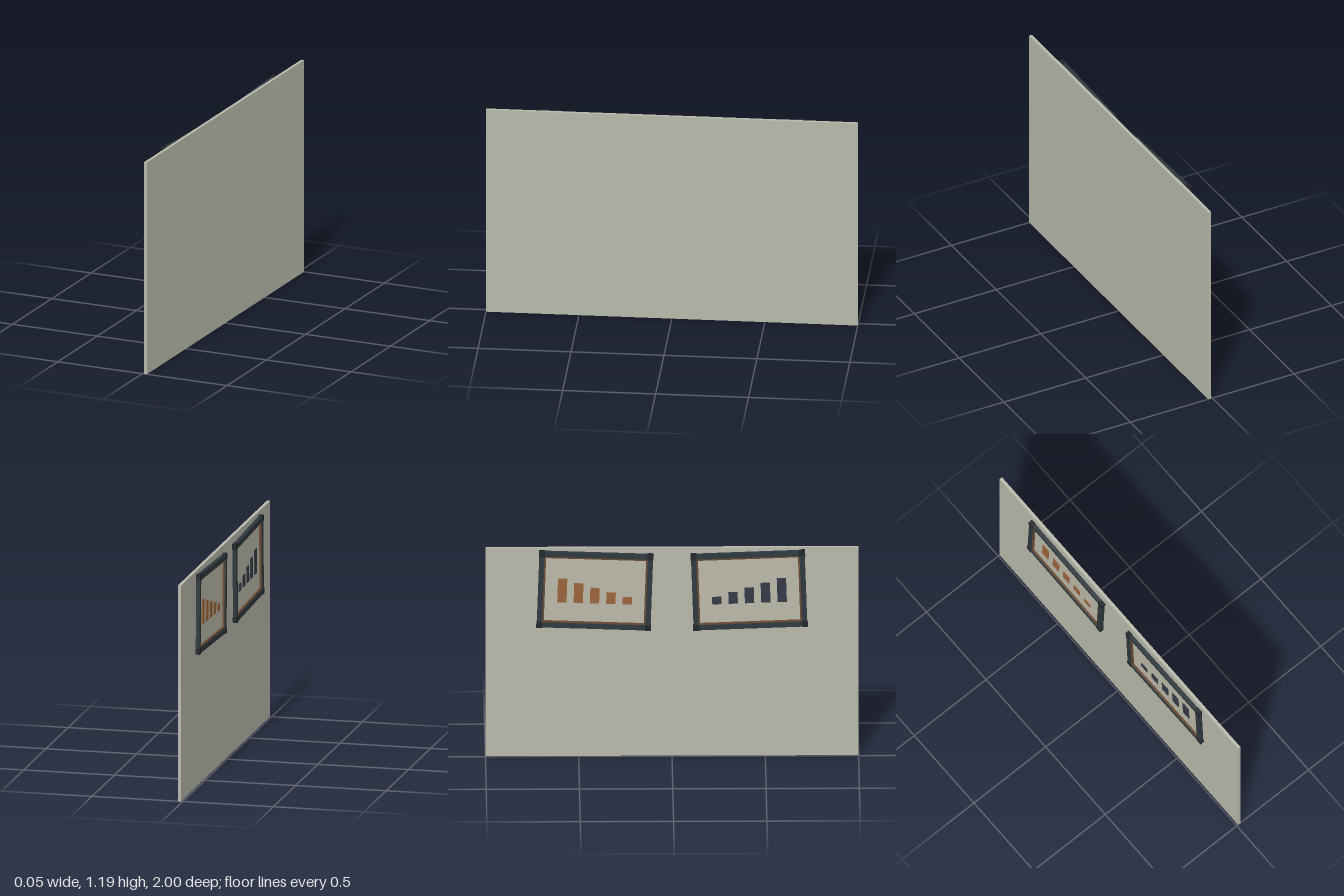
import * as THREE from 'three';

const mat = (name, color) => {
  const m = new THREE.MeshStandardMaterial({ color });
  m.name = name;
  return m;
};

export function createModel() {
  const wallMat = mat('warm grey wall', 0xb8b9ab);
  const frameMat = mat('dark slate frame', 0x2d383e);
  const cornerMat = mat('near black corner', 0x20262b);
  const linerMat = mat('brown liner', 0x6b4c32);
  const paperMat = mat('pale paper', 0xbab9a9);
  const orangeMat = mat('copper bars', 0x9b643b);
  const inkMat = mat('ink bars', 0x343a46);

  const box = (parent, name, material, size, pos) => {
    const mesh = new THREE.Mesh(new THREE.BoxGeometry(...size), material);
    mesh.name = name;
    mesh.position.set(...pos);
    parent.add(mesh);
    return mesh;
  };

  // Four rails around a w (z) by h (y) rectangle
  const border = (parent, name, material, w, h, rail, depth, x) => {
    for (const s of [-1, 1]) {
      box(parent, name + 'Rail', material, [depth, rail, w], [x, s * (h - rail) / 2, 0]);
      box(parent, name + 'Stile', material, [depth, h - 2 * rail, rail], [x, 0, s * (w - rail) / 2]);
    }
  };

  const W = 0.61, H = 0.432, RAIL = 0.028;

  // side +1 or -1 along z; the outer end hangs slightly higher
  const picture = (side, barMat) => {
    const g = new THREE.Group();
    g.name = side > 0 ? 'frontPicture' : 'backPicture';
    border(g, 'frame', frameMat, W, H, RAIL, 0.021, -0.0145);
    border(g, 'liner', linerMat, W - 2 * RAIL, H - 2 * RAIL, 0.009, 0.014, -0.013);
    box(g, 'paper', paperMat, [0.004, H - 2 * RAIL, W - 2 * RAIL], [-0.008, 0, 0]);

    // Corner caps and wall standoffs
    for (const sy of [-1, 1]) for (const sz of [-1, 1]) {
      box(g, 'cornerCap', cornerMat, [0.024, 0.033, 0.033],
        [-0.015, sy * (H / 2 - 0.014), sz * (W / 2 - 0.014)]);
      box(g, 'standoff', cornerMat, [0.008, 0.012, 0.012],
        [-0.005, sy * (H / 2 - 0.025), sz * (W / 2 - 0.04)]);
    }

    // Row of bars growing toward the outer end
    for (let i = 0; i < 5; i++) {
      const h = 0.042 + i * 0.0235;
      box(g, 'chartBar', barMat, [0.004, h, 0.05],
        [-0.012, -0.075 + h / 2, side * (i - 2) * 0.0875]);
    }
    g.position.set(0, 0.954, side * 0.413);
    g.rotation.x = -side * 0.035;
    return g;
  };

  const model = new THREE.Group();
  model.name = 'wallWithPictures';
  box(model, 'wallPanel', wallMat, [0.017, 1.19, 2], [0.0175, 0.595, 0]);
  model.add(picture(-1, orangeMat), picture(1, inkMat));
  return model;
}
